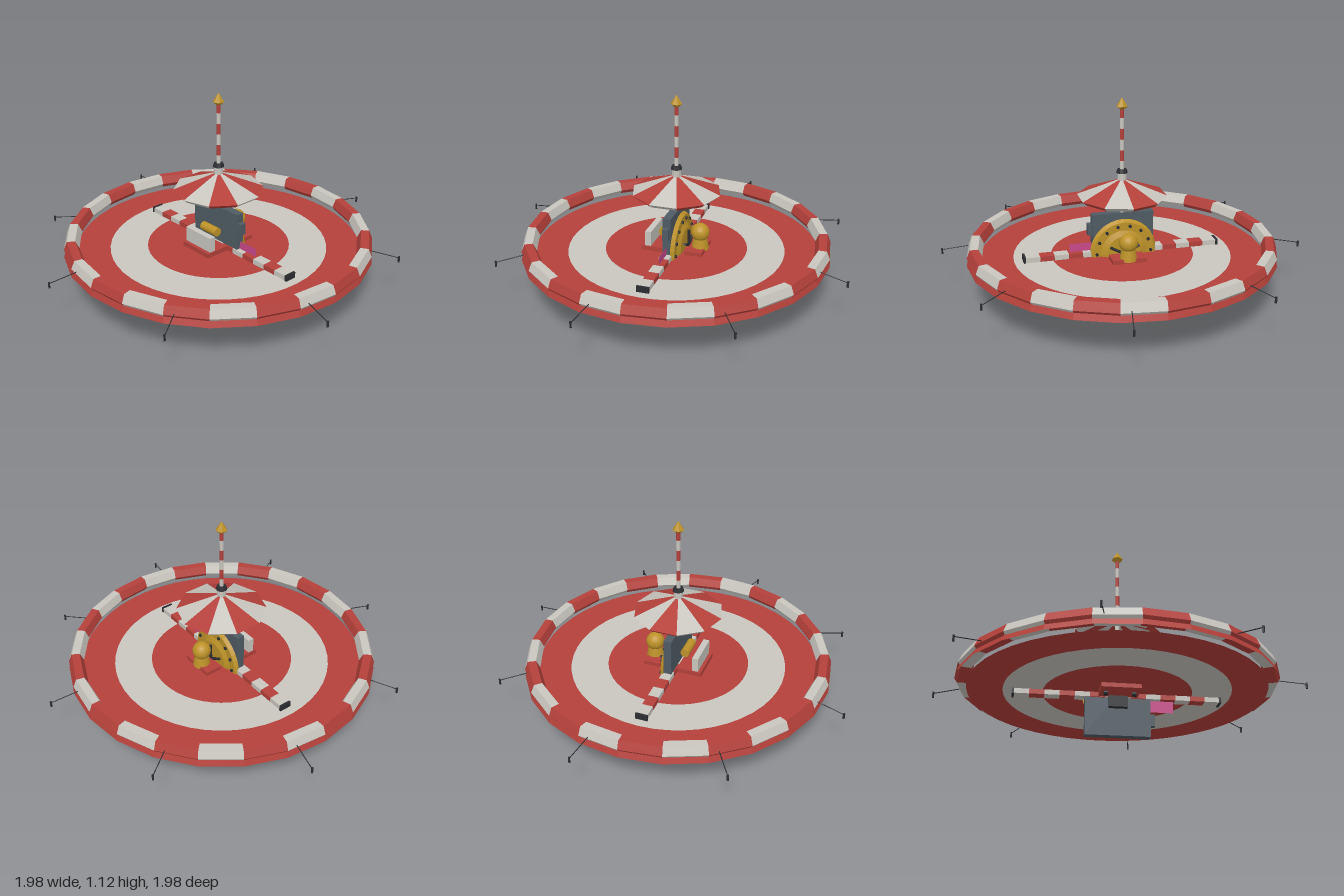
import * as THREE from 'three';

const mat = (name, color, side = THREE.FrontSide) => {
  const m = new THREE.MeshStandardMaterial({ color, side, flatShading: true });
  m.name = name;
  return m;
};

export function createModel() {
  const root = new THREE.Group();
  root.name = 'circusRing';
  const red = mat('red', 0xb4403a);
  const white = mat('offWhite', 0xc9c6bf);
  const slate = mat('slate', 0x4f5b64);
  const gold = mat('gold', 0xbd9228);
  const dark = mat('charcoal', 0x2b2d31);
  const pink = mat('pink', 0xc9488a, THREE.DoubleSide);
  const redCloth = mat('redCloth', 0xb4403a, THREE.DoubleSide);
  const whiteCloth = mat('whiteCloth', 0xc9c6bf, THREE.DoubleSide);

  const add = (name, geo, material, x = 0, y = 0, z = 0, parent = root) => {
    const m = new THREE.Mesh(geo, material);
    m.name = name;
    m.position.set(x, y, z);
    parent.add(m);
    return m;
  };
  const box = (name, w, h, d, material, x, y, z) =>
    add(name, new THREE.BoxGeometry(w, h, d), material, x, y, z);
  const cyl = (name, r1, r2, h, n, material, x, y, z) =>
    add(name, new THREE.CylinderGeometry(r1, r2, h, n), material, x, y, z);
  const rod = (name, a, b, r, material) => {
    const d = b.clone().sub(a);
    const m = add(name, new THREE.CylinderGeometry(r, r, d.length(), 6), material);
    m.position.copy(a).addScaledVector(d, 0.5);
    m.quaternion.setFromUnitVectors(new THREE.Vector3(0, 1, 0), d.normalize());
    return m;
  };

  // Arena floor: three concentric bands
  [[0, 0.4, redCloth], [0.4, 0.61, whiteCloth], [0.61, 0.8, redCloth]].forEach(([a, b, m]) => {
    const g = a ? new THREE.RingGeometry(a, b, 48) : new THREE.CircleGeometry(b, 48);
    add('floorBand', g.rotateX(-Math.PI / 2), m, 0, 0.235, 0);
  });

  // Padded rim: 24 alternating cushions with a hexagonal section
  const seg = Math.PI / 12;
  const section = [[0.78, 0.285], [0.795, 0.262], [0.848, 0.262], [0.864, 0.285],
    [0.845, 0.33], [0.8, 0.33], [0.78, 0.285]].map(p => new THREE.Vector2(...p));
  for (let i = 0; i < 24; i++) {
    add('rimCushion', new THREE.LatheGeometry(section, 1, i * seg, seg), i % 2 ? white : red);
  }
  // Red skirt under the cushions
  add('rimSkirt', new THREE.CylinderGeometry(0.85, 0.866, 0.04, 24, 1, true), red, 0, 0.258, 0);

  // Eight guy lines with pegs
  for (let i = 0; i < 8; i++) {
    const a = i * Math.PI / 4 + 0.2;
    const at = (r, y) => new THREE.Vector3(Math.cos(a) * r, y, Math.sin(a) * r);
    rod('guyLine', at(0.84, 0.295), at(1.005, 0.27), 0.0025, dark);
    rod('peg', at(1.005, 0.245), at(1.005, 0.278), 0.006, dark);
  }

  // Striped crossbar with dark end caps
  for (const s of [-1, 1]) {
    for (let i = 0; i < 7; i++) {
      box('barStripe', 0.08, 0.055, 0.06, i % 2 ? red : white, s * (0.51 - i * 0.08), 0.236, 0);
    }
    box('barCap', 0.012, 0.064, 0.068, dark, s * 0.555, 0.236, 0);
  }

  // Upright slab with hinges
  box('slab', 0.35, 0.475, 0.045, slate, 0, 0.2375, 0);
  for (const y of [0.095, 0.39]) box('hinge', 0.025, 0.065, 0.035, slate, 0.187, y, 0);

  // Round studded door on the back
  const plate = cyl('door', 0.19, 0.175, 0.02, 32, gold, 0, 0.25, -0.033);
  plate.rotation.x = Math.PI / 2;
  const inner = cyl('doorBoss', 0.13, 0.1, 0.014, 32, gold, 0, 0.25, -0.05);
  inner.rotation.x = Math.PI / 2;
  for (let i = 0; i < 14; i++) {
    const a = i * Math.PI / 7;
    const stud = cyl('doorStud', 0.009, 0.009, 0.012, 8, dark,
      Math.cos(a) * 0.155, 0.25 + Math.sin(a) * 0.155, -0.046);
    stud.rotation.x = Math.PI / 2;
  }
  for (let i = 0; i < 3; i++) {
    const a = i * Math.PI / 3 + 0.5;
    const dx = Math.cos(a) * 0.095, dy = Math.sin(a) * 0.095;
    rod('doorHandle', new THREE.Vector3(dx, 0.25 + dy, -0.075),
      new THREE.Vector3(-dx, 0.25 - dy, -0.075), 0.008, dark);
  }

  // Bell on its red stand behind the door
  box('bellStand', 0.19, 0.045, 0.1, red, 0, 0.235, -0.125);
  cyl('bellNeck', 0.035, 0.05, 0.08, 16, gold, 0, 0.285, -0.14);
  add('bell', new THREE.SphereGeometry(0.052, 20, 14), gold, 0, 0.342, -0.14);

  // Front console: red base, white block, gold roller, knobs
  box('consoleBase', 0.21, 0.05, 0.15, red, 0, 0.237, 0.097);
  box('consoleBlock', 0.2, 0.085, 0.035, white, 0, 0.305, 0.135);
  const roller = cyl('roller', 0.025, 0.025, 0.12, 16, gold, 0, 0.34, 0.06);
  roller.rotation.z = Math.PI / 2;
  box('lockBox', 0.1, 0.07, 0.03, dark, 0, 0.185, 0.037);
  for (const x of [-0.075, 0.075]) for (const z of [-0.11, 0.11]) {
    const foot = cyl('foot', 0.013, 0.013, 0.02, 10, dark, x, 0.2, z);
    foot.rotation.z = Math.PI / 2;
  }

  // Side flag
  add('flag', new THREE.PlaneGeometry(0.13, 0.165), pink, 0.237, 0.227, 0);

  // Canopy: ten panels, each a sloped wedge with a folded hem
  const slice = Math.PI / 5;
  const canopy = [[0.25, 0.575], [0.025, 0.662]].map(p => new THREE.Vector2(...p));
  const hem = [[0.225, 0.553], [0.25, 0.575]].map(p => new THREE.Vector2(...p));
  for (let i = 0; i < 10; i++) {
    const m = i % 2 ? whiteCloth : redCloth;
    add('canopyPanel', new THREE.LatheGeometry(canopy, 1, Math.PI + i * slice, slice), m);
    add('canopyHem', new THREE.LatheGeometry(hem, 1, Math.PI + i * slice, slice), m);
  }

  // Mast: lower post, collar, striped pole and finial
  cyl('lowerPost', 0.013, 0.013, 0.2, 10, white, 0, 0.565, 0);
  cyl('collar', 0.025, 0.025, 0.06, 10, white, 0, 0.68, 0);
  cyl('collarCap', 0.026, 0.032, 0.02, 10, dark, 0, 0.713, 0);
  for (let i = 0; i < 6; i++) {
    cyl('poleStripe', 0.0115, 0.0115, 0.06, 10, i % 2 ? red : white, 0, 0.74 + i * 0.06, 0);
  }
  cyl('finialBase', 0.032, 0.016, 0.015, 6, gold, 0, 1.065, 0);
  add('finial', new THREE.ConeGeometry(0.032, 0.05, 6), gold, 0, 1.096, 0);

  return root;
}
